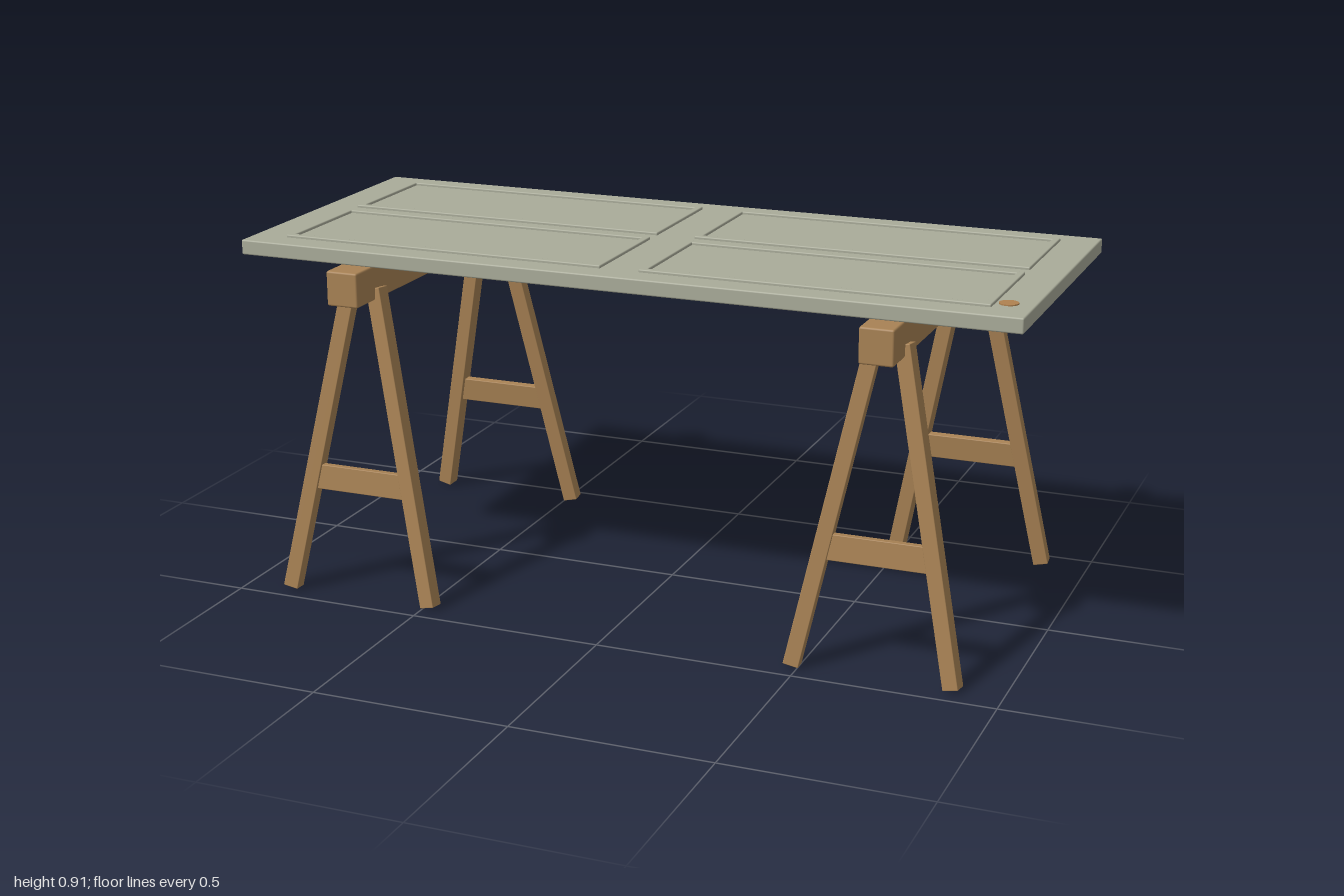
import * as THREE from 'three';
import { RoundedBoxGeometry } from 'three/addons/geometries/RoundedBoxGeometry.js';

const wood = new THREE.MeshStandardMaterial({ name: 'wood', color: 0xa88254 });
const paint = new THREE.MeshStandardMaterial({ name: 'sagePaint', color: 0xa9ab99 });
const knobWood = new THREE.MeshStandardMaterial({ name: 'plugWood', color: 0xb08250 });

// Box with slightly softened edges
function board(name, mat, w, h, d, x, y, z, r = 0.004) {
  const m = new THREE.Mesh(new RoundedBoxGeometry(w, h, d, 2, r), mat);
  m.name = name;
  m.position.set(x, y, z);
  return m;
}

// Leg splayed outward in both directions
function leg(sx, sz) {
  const top = new THREE.Vector3(sx * 0.035, 0.807, sz * 0.363);
  const foot = new THREE.Vector3(sx * 0.198, 0.008, sz * 0.44);
  const axis = top.clone().sub(foot);
  const m = board('leg', wood, 0.039, axis.length(), 0.039, 0, 0, 0, 0.002);
  m.position.copy(top).add(foot).multiplyScalar(0.5);
  m.quaternion.setFromUnitVectors(new THREE.Vector3(0, 1, 0), axis.normalize());
  m.rotateY(-0.08 * sx * sz);
  return m;
}

function trestle(x) {
  const g = new THREE.Group();
  g.name = 'trestle';
  g.position.x = x;
  g.add(board('beam', wood, 0.084, 0.088, 0.948, 0, 0.823, 0, 0.005));
  for (const sz of [-1, 1]) {
    for (const sx of [-1, 1]) g.add(leg(sx, sz));
    const brace = board('crossBrace', wood, 0.265, 0.064, 0.022, 0, 0.308, sz * 0.411, 0.002);
    brace.rotation.x = -sz * 0.096;
    g.add(brace);
  }
  return g;
}

// Raised moulding around one door panel
function moulding(sx, sz) {
  const g = new THREE.Group();
  g.name = 'panelMoulding';
  const x0 = 0.05, x1 = 0.908, z0 = 0.022, z1 = 0.343, t = 0.018, h = 0.014, y = 0.906;
  for (const z of [z0 + t / 2, z1 - t / 2])
    g.add(board('longMoulding', paint, x1 - x0, h, t, sx * (x0 + x1) / 2, y, sz * z, 0.003));
  for (const x of [x0 + t / 2, x1 - t / 2])
    g.add(board('shortMoulding', paint, t, h, z1 - z0, sx * x, y, sz * (z0 + z1) / 2, 0.003));
  return g;
}

export function createModel() {
  const model = new THREE.Group();
  model.name = 'trestleTable';

  // Old door used as the top
  model.add(board('doorTop', paint, 2, 0.038, 0.815, 0, 0.887, 0, 0.004));
  for (const sx of [-1, 1]) {
    model.add(trestle(sx * 0.681));
    for (const sz of [-1, 1]) model.add(moulding(sx, sz));
  }

  // Wooden plug in the lock hole
  const plug = new THREE.Mesh(new THREE.CylinderGeometry(0.023, 0.023, 0.008, 24), knobWood);
  plug.name = 'lockPlug';
  plug.position.set(0.938, 0.905, 0.297);
  model.add(plug);
  return model;
}
